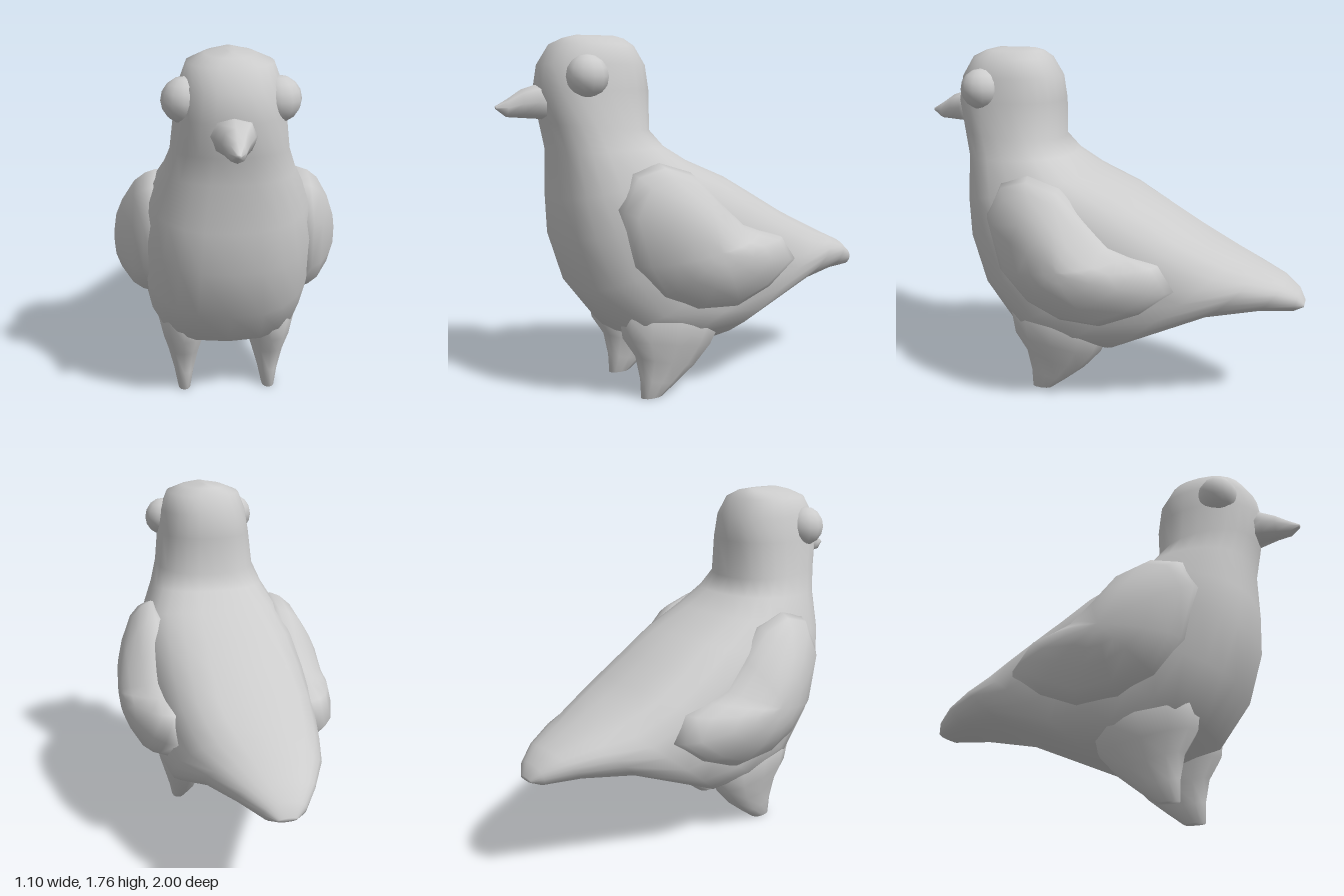
import * as THREE from 'three';

const material = new THREE.MeshStandardMaterial({ color: 0xcccccc });

// Closed smooth skin over a list of rings, with a centre point capping each end.
function skin(name, rings, flip = false) {
  const n = rings[0].length;
  const pts = rings.flat();
  const index = [];
  const face = (a, b, c) => index.push(...(flip ? [a, c, b] : [a, b, c]));
  for (let r = 0; r < rings.length - 1; r++) {
    for (let i = 0; i < n; i++) {
      const j = (i + 1) % n;
      const a = r * n + i, b = r * n + j;
      face(a, a + n, b + n);
      face(a, b + n, b);
    }
  }
  const centre = ring => ring.reduce((s, p) => s.add(p), new THREE.Vector3()).divideScalar(n);
  const first = pts.length, last = first + 1, end = (rings.length - 1) * n;
  pts.push(centre(rings[0]), centre(rings[rings.length - 1]));
  for (let i = 0; i < n; i++) {
    const j = (i + 1) % n;
    face(first, i, j);
    face(last, end + j, end + i);
  }
  const geometry = new THREE.BufferGeometry().setFromPoints(pts);
  geometry.setIndex(index);
  geometry.computeVertexNormals();
  const mesh = new THREE.Mesh(geometry, material);
  mesh.name = name;
  return mesh;
}

// Slanted oval rings: each row is [z1, y1, z2, y2, halfWidth, roundness];
// two profile points, the width, and how square the oval is (1 is round).
function loft(name, rows, sides, cx = 0) {
  return skin(name, rows.map(([z1, y1, z2, y2, w, power = 0.88]) =>
    Array.from({ length: sides }, (_, i) => {
      const soft = v => Math.sign(v) * Math.abs(v) ** power;
      const a = (i / sides) * Math.PI * 2;
      const c = soft(Math.cos(a)), s = soft(Math.sin(a));
      return new THREE.Vector3(cx + s * w, (y1 + y2 + c * (y1 - y2)) / 2, (z1 + z2 + c * (z1 - z2)) / 2);
    })));
}

// Head, breast, back and tail in one run: front or belly point, back point, half width.
const BODY = [
  [0.61, 1.76, 0.41, 1.76, 0.02],
  [0.67, 1.745, 0.37, 1.745, 0.11],
  [0.73, 1.715, 0.33, 1.71, 0.19],
  [0.79, 1.62, 0.275, 1.62, 0.225],
  [0.81, 1.50, 0.26, 1.50, 0.245],
  [0.78, 1.35, 0.265, 1.31, 0.265],
  [0.75, 1.22, 0.20, 1.235, 0.30, 0.84],
  [0.75, 1.00, 0.08, 1.16, 0.37, 0.82],
  [0.74, 0.80, -0.13, 1.07, 0.405, 0.8],
  [0.66, 0.55, -0.30, 0.97, 0.415, 0.75],
  [0.50, 0.34, -0.45, 0.88, 0.405, 0.7],
  [0.25, 0.25, -0.55, 0.83, 0.385, 0.72],
  [0.00, 0.23, -0.66, 0.78, 0.36, 0.8],
  [-0.50, 0.455, -0.78, 0.72, 0.28],
  [-0.77, 0.505, -0.90, 0.665, 0.185],
  [-0.95, 0.51, -0.97, 0.61, 0.10],
  [-0.995, 0.53, -1.00, 0.55, 0.045],
];

// Leg from inside the belly down to the foot.
const LEG = [
  [0.46, 0.58, -0.08, 0.52, 0.11],
  [0.49, 0.43, -0.05, 0.34, 0.135],
  [0.475, 0.32, 0.00, 0.24, 0.11],
  [0.41, 0.22, 0.09, 0.14, 0.08],
  [0.385, 0.10, 0.19, 0.06, 0.05],
  [0.38, 0.00, 0.27, 0.00, 0.032],
];

// Beak from the face to the tip: top point, bottom point, half width.
const BEAK = [
  [0.74, 1.53, 0.72, 1.36, 0.12, 0.75],
  [0.82, 1.525, 0.81, 1.37, 0.085, 0.75],
  [0.88, 1.505, 0.88, 1.375, 0.06],
  [0.94, 1.465, 0.95, 1.38, 0.038],
  [1.00, 1.43, 0.995, 1.415, 0.012],
];

// Wing outline in side view as [z, y].
const WING = [
  [0.55, 0.97], [0.47, 1.13], [0.33, 1.17], [0.17, 1.12], [0.03, 0.98], [-0.10, 0.86], [-0.20, 0.82],
  [-0.33, 0.78], [-0.41, 0.66], [-0.25, 0.53], [-0.06, 0.45], [0.15, 0.46], [0.33, 0.54], [0.48, 0.70],
];
// Wing dome as [x, outline scale], from the buried root outward.
const DOME = [[0.24, 0.92], [0.35, 1], [0.40, 0.95], [0.45, 0.84], [0.51, 0.56], [0.54, 0.34], [0.55, 0.14]];

function wing(name, side) {
  // The rim leans in toward the shoulder.
  const rings = DOME.map(([x, s]) => WING.map(([z, y]) => {
    const dy = (y - 0.76) * s;
    return new THREE.Vector3(side * (x - 0.04 * dy), 0.76 + dy, 0.12 + (z - 0.12) * s);
  }));
  return skin(name, rings, side < 0);
}

export function createModel() {
  const model = new THREE.Group();
  model.name = 'bird';
  model.add(loft('body', BODY, 24), loft('beak', BEAK, 8));

  // Mirrored parts
  for (const [label, side] of [['left', 1], ['right', -1]]) {
    const eye = new THREE.Mesh(new THREE.SphereGeometry(0.1, 12, 8), material);
    eye.name = label + 'Eye';
    eye.position.set(side * 0.2, 1.565, 0.625);
    model.add(eye, wing(label + 'Wing', side), loft(label + 'Leg', LEG, 12, side * 0.215));
  }
  return model;
}
